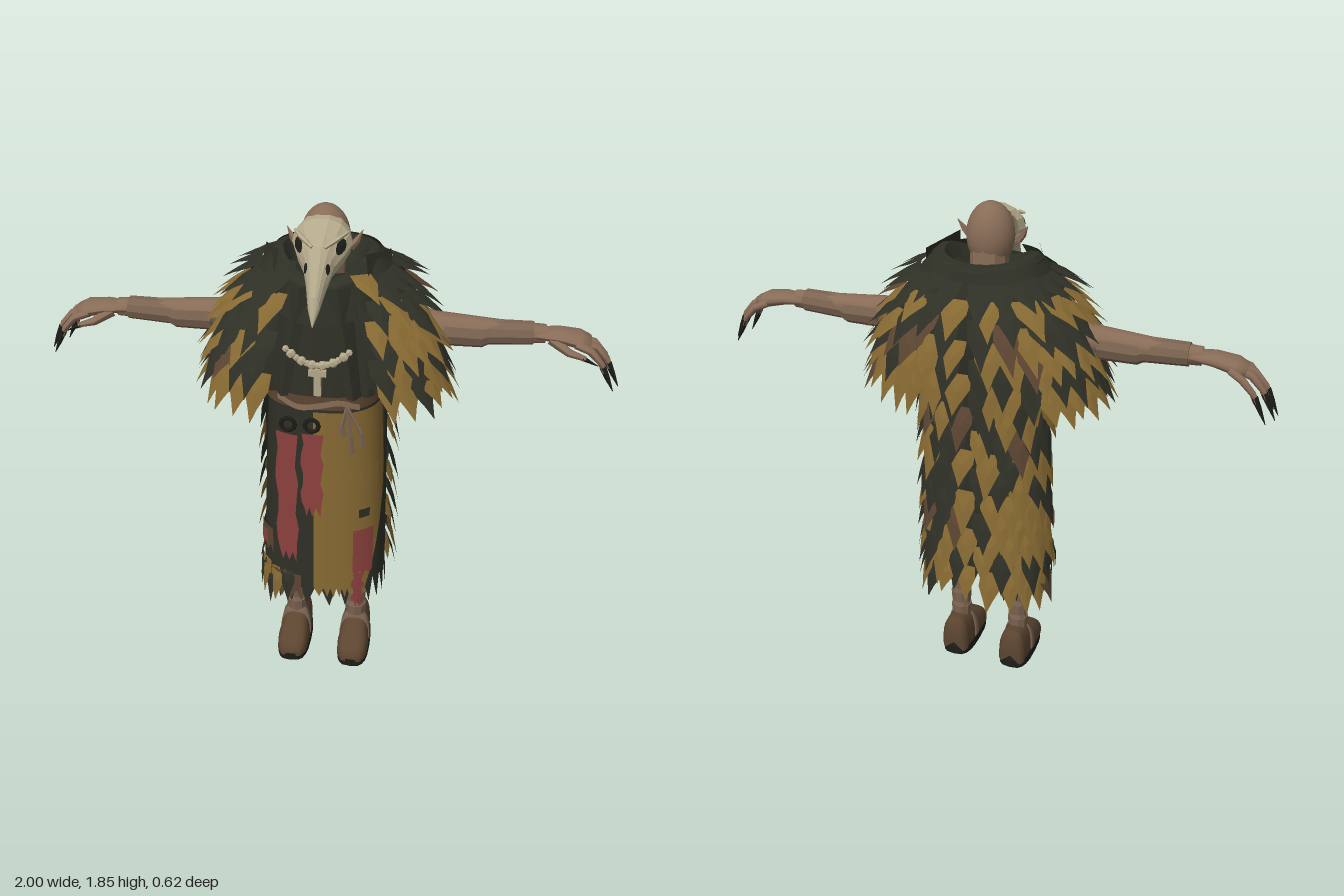
import * as THREE from 'three';
import { mergeGeometries } from 'three/addons/utils/BufferGeometryUtils.js';

const paint = (name, color) => {
  const m = new THREE.MeshStandardMaterial({ color, side: THREE.DoubleSide });
  m.name = name;
  return m;
};
const M = {
  ochre: paint('ochre cloth', 0x866932), dark: paint('dark cloth', 0x2e2f25), brown: paint('brown cloth', 0x5b4431),
  red: paint('red cloth', 0x8a403d), bone: paint('bone', 0xb3a88a), skin: paint('skin', 0x886c57),
  shoe: paint('shoe leather', 0x5c4530), black: paint('black', 0x1c1c18), wrap: paint('wrapping', 0x7a6350),
};
let seed = 7;
const rnd = () => (seed = (seed * 16807) % 2147483647) / 2147483647;
const spow = (v, e) => Math.sign(v) * Math.abs(v) ** e;
const mix = THREE.MathUtils.lerp;

// piecewise linear lookup in rows [key, a, b, ...] with rising keys
function table(rows, k) {
  let i = 0;
  while (i < rows.length - 2 && k > rows[i + 1][0]) i++;
  const t = THREE.MathUtils.clamp((k - rows[i][0]) / (rows[i + 1][0] - rows[i][0]), 0, 1);
  return rows[i].map((v, j) => mix(v, rows[i + 1][j], t));
}
const flat = g => { const f = g.index ? g.toNonIndexed() : g; f.computeVertexNormals(); return f; };

// grid surface from f(u, v) -> [x, y, z]
function sheet(f, nu, nv, smooth = true) {
  const pos = [], idx = [];
  for (let j = 0; j <= nv; j++) for (let i = 0; i <= nu; i++) pos.push(...f(i / nu, j / nv, i));
  for (let j = 0; j < nv; j++) for (let i = 0; i < nu; i++) {
    const a = j * (nu + 1) + i, b = a + nu + 1;
    idx.push(a, b, a + 1, a + 1, b, b + 1);
  }
  const g = new THREE.BufferGeometry();
  g.setAttribute('position', new THREE.Float32BufferAttribute(pos, 3));
  g.setIndex(idx);
  if (!smooth) return flat(g);
  g.computeVertexNormals();
  return g;
}

// limb through points [x, y, z, radius], with closed ends
function limb(pts, sides = 7, squash = 1, smooth = false) {
  const P = pts.map(p => new THREE.Vector3(p[0], p[1], p[2])), n = pts.length - 1;
  const rings = P.map((p, i) => {
    const t = P[Math.min(i + 1, n)].clone().sub(P[Math.max(i - 1, 0)]).normalize();
    const A = new THREE.Vector3(0, 0, 1).addScaledVector(t, -t.z).normalize();
    return { p, A, B: t.clone().cross(A), r: pts[i][3] };
  });
  const ends = [{ ...rings[0], r: 0 }, ...rings, { ...rings[n], r: 0 }];
  return sheet((u, v) => {
    const k = ends[Math.round(v * (n + 2))], a = -u * Math.PI * 2;
    return k.p.clone().addScaledVector(k.A, Math.cos(a) * k.r).addScaledVector(k.B, Math.sin(a) * k.r * squash).toArray();
  }, sides, n + 2, smooth);
}

// garment surfaces: angle 0 faces front, growing toward +x
const around = (a, y, rx, rf, rb, cz, off) => [(rx + off) * spow(Math.sin(a), 0.8), y,
  cz + ((Math.cos(a) > 0 ? rf : rb) + off) * spow(Math.cos(a), 0.8)];
const skirtRx = y => 0.195 + 0.04 * (1.2 - y) / 0.85;
const skirt = (a, y, off = 0) => {
  const t = (1.2 - y) / 0.85;
  return around(a, y, skirtRx(y), 0.165 + 0.02 * t, 0.13 + 0.03 * t, 0.04, off);
};
const skirtAngle = (x, y) => Math.asin(THREE.MathUtils.clamp(spow(x / skirtRx(y), 1.25), -1, 1));
const mantleRows = [[1.26, 0.385, 0.215, 0.19], [1.4, 0.355, 0.215, 0.21], [1.5, 0.315, 0.195, 0.215],
  [1.6, 0.25, 0.17, 0.2], [1.68, 0.18, 0.13, 0.165]];
const mantle = (a, y, off = 0) => {
  const [, rx, rf, rb] = table(mantleRows, y);
  return around(a, y, rx, rf, rb, -0.01, off);
};
const cape = (a, y, off = 0) => around(a, y, 0.215 + 0.015 * (1.25 - y), 0.15, 0.165 - 0.03 * (1.25 - y), 0, off);

// one ragged triangular feather hanging from a garment surface
function feather(surf, a, y, w, L, lift) {
  const P = new THREE.Vector3(...surf(a, y, 0.006));
  const s = new THREE.Vector3(...surf(a + 0.05, y)).sub(new THREE.Vector3(...surf(a - 0.05, y))).normalize();
  const d = new THREE.Vector3(...surf(a, y - 0.04)).sub(new THREE.Vector3(...surf(a, y))).normalize();
  const n = d.clone().cross(s).normalize();
  const lean = (rnd() - 0.5) * 0.03;
  const at = (x, t, o) => P.clone().addScaledVector(s, x * w + lean * t).addScaledVector(d, t * L)
    .addScaledVector(n, lift * t + o).toArray();
  const mid = at(0, 0.4, 0.008);
  const rim = [at(-0.5, 0, 0), at(-0.52, 0.36, 0), at(-0.2, 0.72, 0.002), at(0, 1, 0), at(0.2, 0.7, 0.002), at(0.52, 0.33, 0), at(0.5, 0, 0)];
  const pos = [];
  rim.forEach((p, i) => pos.push(...mid, ...p, ...rim[(i + 1) % rim.length]));
  const g = new THREE.BufferGeometry();
  g.setAttribute('position', new THREE.Float32BufferAttribute(pos, 3));
  return flat(g);
}

export function createModel() {
  const root = new THREE.Group();
  const add = (name, geo, mat, parent = root) => {
    const m = new THREE.Mesh(geo, mat);
    m.name = name;
    parent.add(m);
    return m;
  };

  // torso, skirt with ragged hem, belt
  add('torso', sheet((u, v) => around(u * 6.2832, 1.65 - 0.47 * v, 0.15 + 0.03 * v, 0.12 + 0.05 * v, 0.13, 0.005, 0), 28, 4), M.dark);
  add('skirt', sheet((u, v, i) => skirt(u * 6.2832, mix(1.2, v === 1 ? (i % 2 ? 0.34 : 0.45) : 0.4, v)), 52, 8), M.dark);
  add('belt', sheet((u, v) => skirt(u * 6.2832, 1.24 - 0.05 * v, 0.008), 40, 1), M.brown);
  add('beltCord', sheet((u, v) => skirt(mix(-0.65, 0.65, u), 1.222 - 0.022 * v + 0.012 * Math.cos(u * 9), 0.016), 16, 1), M.skin);

  // cloth panels lying on the skirt
  const panel = (name, mat, edges, top, bottom, off, jag, cols = 8) => add(name, sheet((u, v, i) => {
    const y = mix(top, bottom, v) + (v === 1 ? (i % 2 ? -jag : jag) : 0), [a0, a1] = edges(v, y);
    return skirt(mix(a0, a1, u), y, off);
  }, cols, 8), mat);
  const strip = (name, mat, x0, x1, top, bottom, off, jag, cols, wave = 0) => panel(name, mat, (v, y) =>
    [skirtAngle(x0 + wave * Math.sin(v * 14), y), skirtAngle(x1 + wave * Math.sin(v * 17 + 1), y)], top, bottom, off, jag, cols);
  panel('apron', M.ochre, (v, y) => [skirtAngle(-0.015, y), mix(1.5, 0.72, Math.max(0, v - 0.4) / 0.6)], 1.18, 0.41, 0.008, 0.02, 18);
  for (let i = 0; i < 6; i++) {
    const a = 0.06 + i * 0.22;
    panel('apronTooth', M.ochre, v => [a + 0.11 * v, a + 0.22 - 0.11 * v], 0.95, 0.85, 0.013, 0, 2);
  }
  strip('apronPatch', M.dark, 0.138, 0.172, 0.78, 0.745, 0.013, 0, 2);
  strip('redPatch', M.red, 0.12, 0.184, 0.695, 0.5, 0.016, 0.01, 6);
  strip('redPatchTail', M.red, 0.12, 0.155, 0.5, 0.36, 0.016, 0.02, 4, 0.006);
  strip('longSash', M.red, -0.134, -0.066, 1.09, 0.57, 0.022, 0.02, 5, 0.006);
  strip('shortSash', M.red, -0.048, 0.016, 1.1, 0.78, 0.022, 0.02, 5, 0.006);
  strip('darkSash', M.dark, -0.064, -0.048, 1.17, 0.7, 0.016, 0.02, 3);
  strip('hemRag', M.brown, -0.2, -0.06, 0.48, 0.39, 0.01, 0.03, 9);
  strip('sideRag', M.brown, -0.215, -0.165, 0.65, 0.56, 0.01, 0.02, 5);
  strip('sideRagTip', M.red, -0.21, -0.185, 0.63, 0.57, 0.014, 0.01, 3);

  // feathers gathered by colour, in overlapping rows of alternating tone
  const bins = { ochre: [], dark: [], brown: [] };
  const row = (surf, y, a0, a1, count, w, L, lift, shift, ochre) => {
    for (let i = 0; i < count; i++) {
      const a = mix(a0, a1, (i + 0.5 + shift) / count), r = rnd();
      const key = r < ochre ? 'ochre' : r < 0.93 ? 'dark' : 'brown';
      bins[key].push(feather(surf, a, y + (rnd() - 0.5) * 0.025, w * (0.9 + 0.3 * rnd()), L * (0.85 + 0.35 * rnd()), lift));
    }
  };
  const gap = 0.42, end = Math.PI * 2 - gap;
  add('mantle', sheet((u, v) => mantle(mix(gap - 0.06, end + 0.06, u), 1.68 - 0.41 * v), 44, 6), M.dark);
  [1.64, 1.58, 1.52, 1.455, 1.39, 1.32].forEach((y, i) =>
    row(mantle, y, gap, end, 20 + 2 * i, 0.07 + 0.003 * i, 0.125 + 0.006 * i, 0.058, (i % 2) * 0.3, [0.1, 0.6, 0.4, 0.75, 0.35, 0.75][i]));
  add('cape', sheet((u, v) => cape(mix(1.35, Math.PI * 2 - 1.35, u), 1.4 - 0.92 * v), 32, 6), M.dark);
  for (let i = 0; i < 10; i++)
    row(cape, 1.27 - i * 0.086, 1.62, Math.PI * 2 - 1.62, 10, 0.078, 0.155, 0.042, (i % 2) * 0.4 - 0.2, i % 2 ? 0.8 : 0.3);
  row(skirt, 0.49, -1.25, -0.35, 5, 0.055, 0.15, 0.012, 0, 0.5);
  for (const [key, list] of Object.entries(bins)) add(key + 'Feathers', mergeGeometries(list), M[key]);

  // folded cowl, dipping at the front, and lapels below it
  const cowl = [[0, 0.075, 1.61], [0.2, 0.115, 1.645], [0.4, 0.145, 1.695], [0.55, 0.185, 1.69], [0.75, 0.2, 1.64], [1, 0.225, 1.56]];
  add('cowl', sheet((u, v) => {
    const a = u * Math.PI * 2, [, r, y] = table(cowl, v), c = Math.cos(a);
    return [r * Math.sin(a), y - 0.065 * Math.max(0, c) ** 2 - 0.012 * Math.max(0, -c), r * c * 0.95 - 0.008];
  }, 22, 10, false), M.dark);
  for (const s of [-1, 1]) {
    add('lapel', sheet((u, v) => [s * (mix(0.02, 0.1, v) + u * mix(0.16, 0.09, v)), mix(1.62, 1.24, v),
      mix(0.175, 0.215, v) - 0.05 * u * u + 0.015 * Math.sin(u * 9)], 4, 4, false), M.dark);
    add('shoulderFold', sheet((u, v) => [s * (0.14 + 0.07 * u + 0.03 * v), 1.71 - 0.03 * u - 0.16 * v, 0.1 - 0.14 * u + 0.06 * v], 2, 2, false), M.dark);
  }

  // head and beaked mask
  const head = add('head', new THREE.SphereGeometry(1, 24, 16), M.skin);
  head.scale.set(0.082, 0.112, 0.08);
  head.position.set(0, 1.733, 0.02);
  add('neck', limb([[0, 1.55, 0, 0.065], [0, 1.7, 0.01, 0.065]], 10), M.skin);
  // rows: step, z, y, half width, half height
  const beak = [[0, 0.05, 1.745, 0.09, 0.08], [1, 0.095, 1.743, 0.098, 0.08], [2, 0.135, 1.722, 0.08, 0.076], [3, 0.18, 1.695, 0.05, 0.066],
    [4, 0.23, 1.646, 0.032, 0.054], [5, 0.28, 1.598, 0.019, 0.036], [6, 0.31, 1.548, 0.002, 0.004]];
  const mask = (k, a, o = 0) => {
    const [, z, y, w, h] = table(beak, k);
    return [(w + o) * Math.cos(a), y + (h + o) * Math.sin(a), z + o];
  };
  add('mask', sheet((u, v) => mask(v * 6, u * Math.PI * 2), 14, 6, false), M.bone);
  for (const s of [-1, 1]) {
    const spot = (name, k, a, dk, da) => add(name, sheet((u, v) => {
      const p = mask(k + dk * v * Math.cos(u * 6.2832), a + da * v * Math.sin(u * 6.2832), 0.004);
      return [s * p[0], p[1], p[2]];
    }, 10, 2), M.black);
    spot('eye', 2.2, 0.48, 0.5, 0.24);
    spot('nostril', 3.6, 0.6, 0.2, 0.22);
    add('brow', limb([[s * 0.085, 1.788, 0.112, 0.005], [s * 0.058, 1.778, 0.15, 0.009], [s * 0.02, 1.757, 0.178, 0.006]], 5), M.bone);
    add('ear', limb([[s * 0.085, 1.715, 0.05, 0.016], [s * 0.105, 1.735, 0.045, 0.011], [s * 0.124, 1.768, 0.035, 0.001]], 5), M.skin);
  }

  // necklace, pendant and belt trinkets
  for (let i = 0; i <= 12; i++) {
    const t = i / 6 - 1;
    add('bead', new THREE.IcosahedronGeometry(i % 2 ? 0.018 : 0.013, 0), M.bone).position.set(t * 0.105, 1.358 + 0.055 * t * t, 0.21);
  }
  add('pendantStem', new THREE.BoxGeometry(0.024, 0.1, 0.016), M.bone).position.set(0, 1.295, 0.208);
  add('pendantBar', new THREE.BoxGeometry(0.06, 0.022, 0.016), M.bone).position.set(0, 1.33, 0.21);
  for (const x of [-0.1, -0.018]) add('beltRing', new THREE.TorusGeometry(0.024, 0.008, 6, 10), M.black).position.set(x, 1.135, 0.228);
  for (const [x, len] of [[0.085, 0.1], [0.115, 0.17], [0.15, 0.14]])
    add('trinket', limb([[0.1, 1.21, 0.21, 0.006], [x, 1.2 - len * 0.6, 0.218, 0.008], [x + 0.005, 1.2 - len, 0.215, 0.012]], 5), M.wrap);

  // one side of the limbs, then its mirror
  for (const s of [1, -1]) {
    const side = new THREE.Group();
    side.name = s > 0 ? 'leftLimbs' : 'rightLimbs';
    side.scale.x = s;
    root.add(side);
    add('arm', limb([[0.14, 1.46, -0.01, 0.06], [0.38, 1.425, -0.01, 0.05], [0.6, 1.42, -0.012, 0.038], [0.74, 1.42, -0.012, 0.032]], 12, 1, true), M.skin, side);
    add('cuff', limb([[0.4, 1.412, -0.01, 0.054], [0.53, 1.408, -0.01, 0.049], [0.55, 1.415, -0.01, 0.044], [0.7, 1.42, -0.012, 0.04]], 10), M.wrap, side);
    add('hand', limb([[0.7, 1.42, -0.012, 0.034], [0.78, 1.42, -0.014, 0.048], [0.85, 1.408, -0.016, 0.056], [0.885, 1.395, -0.016, 0.046]], 12, 0.5, true), M.skin, side);
    [-0.06, -0.03, 0, 0.028].forEach((z, i) => {
      const k = [-0.025, 0, 0.005, -0.015][i], w = z * 1.35;
      add('finger', limb([[0.84, 1.405, z, 0.015], [0.905 + k, 1.388, w, 0.014], [0.945 + k, 1.345, w, 0.011], [0.958 + k, 1.315, w, 0.009]], 8, 1, true), M.skin, side);
      add('claw', limb([[0.95 + k, 1.335, w, 0.012], [0.97 + k, 1.295, w, 0.009], [0.995 + k, 1.245, w, 0.001]], 5), M.black, side);
    });
    add('thumb', limb([[0.76, 1.41, 0.01, 0.02], [0.82, 1.38, 0.042, 0.015], [0.875, 1.365, 0.048, 0.009]], 8, 1, true), M.skin, side);
    add('thumbClaw', limb([[0.865, 1.368, 0.048, 0.01], [0.92, 1.34, 0.046, 0.001]], 5), M.black, side);

    // wrapped leg
    add('leg', limb([[0.12, 0.1, 0.01, 0.034], [0.12, 0.25, 0.012, 0.036], [0.115, 0.6, 0.015, 0.045]], 10), M.skin, side);
    for (let i = 0; i < 5; i++) {
      const y = 0.15 + i * 0.065;
      add('legWrap', limb([[0.12, y, 0.011, 0.038], [0.12, y + 0.045, 0.012, 0.041]], 9), M.wrap, side);
    }
    // shoe rows: z, half width, height
    const last = [[-0.082, 0.04, 0.11], [-0.065, 0.052, 0.155], [0.02, 0.055, 0.15], [0.05, 0.058, 0.12], [0.1, 0.062, 0.1], [0.15, 0.056, 0.072], [0.178, 0.036, 0.045]];
    const shoe = (z0, z1, o, n) => sheet((u, v) => {
      const cap = v === 0 || v === 1, [z, w, h] = table(last, mix(z0, z1, THREE.MathUtils.clamp((v * (n + 2) - 1) / n, 0, 1)));
      if (cap) return [0.12, h * 0.5, z];
      const a = (u * 1.16 - 0.08) * Math.PI;
      return [0.12 - (w + o) * spow(Math.cos(a), 0.65), Math.max(0.02, 0.03 + (h - 0.02 + o) * spow(Math.sin(a), 0.75)), z];
    }, 14, n + 2);
    add('shoe', shoe(-0.082, 0.178, 0, 16), M.shoe, side);
    add('shoeStrap', shoe(0.015, 0.045, 0.004, 2), M.wrap, side);
    add('sole', sheet((u, v) => {
      const a = u * Math.PI * 2, r = v < 0.3 || v > 0.7 ? 0 : 1;
      return [0.12 + 0.063 * r * spow(Math.sin(a), 0.6), v > 0.5 ? 0.032 : 0, 0.048 + 0.133 * r * spow(Math.cos(a), 0.7)];
    }, 20, 3, false), M.black, side);
  }
  return root;
}
